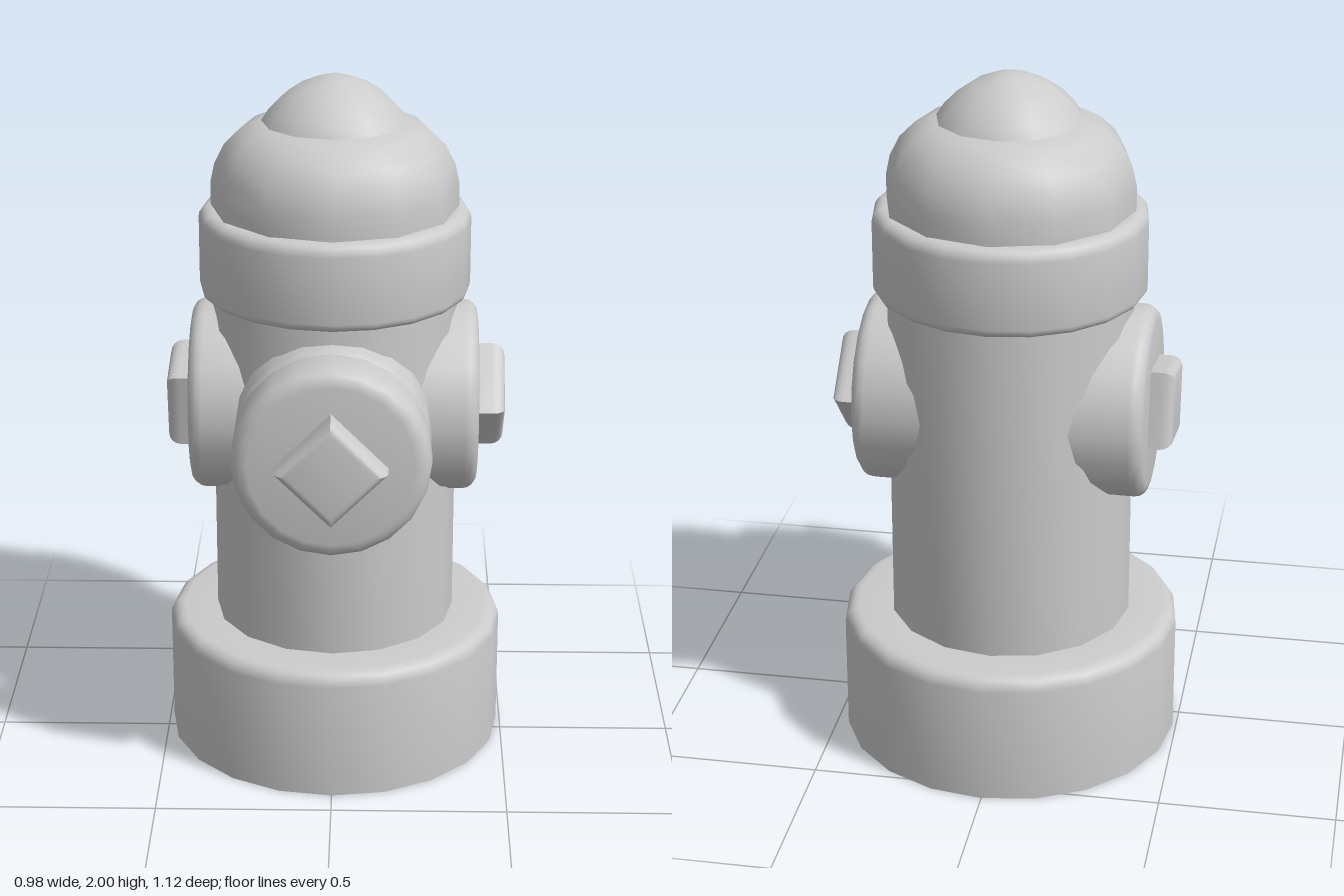
import * as THREE from 'three';
import { toCreasedNormals } from 'three/addons/utils/BufferGeometryUtils.js';

const AXIS_Z = -0.072;
const material = new THREE.MeshStandardMaterial({ color: 0xcccccc, side: THREE.DoubleSide });

// Turned part from [radius, height] points, listed bottom to top
function turned(name, points, sides) {
  const profile = points.map(([r, y]) => new THREE.Vector2(r, y));
  const mesh = new THREE.Mesh(toCreasedNormals(new THREE.LatheGeometry(profile, sides), 0.6), material);
  mesh.name = name;
  return mesh;
}

// Quarter-round profile points; bottom = true rounds the lower edge
function round(radius, y, bevel, bottom = false) {
  const points = [];
  for (let i = 0; i <= 4; i++) {
    const a = (i / 4) * Math.PI / 2;
    points.push(bottom
      ? [radius - bevel + bevel * Math.sin(a), y + bevel - bevel * Math.cos(a)]
      : [radius - bevel + bevel * Math.cos(a), y - bevel + bevel * Math.sin(a)]);
  }
  return points;
}

// Turned part laid on its side so that it points along +z
function outward(name, points, sides) {
  const mesh = turned(name, points, sides);
  mesh.geometry.rotateX(Math.PI / 2);
  return mesh;
}

// Square bolt with its corners up, down and sideways
function bolt(start, end, roll = 0) {
  const mesh = outward('bolt', [[0.156, start], ...round(0.156, end, 0.035), [0, end]], 4);
  mesh.rotation.z = roll;
  return mesh;
}

// Outlet stub from inside the barrel to its rounded end
function outlet(name, end, turn) {
  const group = new THREE.Group();
  group.name = name;
  group.add(outward('outletPipe', [[0.275, 0.2], ...round(0.275, end, 0.04), [0, end]], 20));
  group.position.set(0, 1.052, AXIS_Z);
  group.rotation.y = turn;
  return group;
}

export function createModel() {
  const model = new THREE.Group();
  model.name = 'hydrant';

  // Upright stack: hollow base, barrel, collar, dome and knob
  const stack = [
    turned('base', [[0.49, 0], ...round(0.49, 0.385, 0.04), [0.34, 0.385]], 20),
    turned('barrel', [[0.35, 0.38], [0.35, 1.45]], 16),
    turned('collar', [[0.33, 1.37], ...round(0.385, 1.37, 0.025, true),
      ...round(0.385, 1.62, 0.035), [0.3, 1.62]], 20),
    turned('dome', [[0.35, 1.6], [0.35, 1.685], [0.338, 1.74], [0.31, 1.795],
      [0.265, 1.84], [0.215, 1.863], [0.17, 1.868]], 12),
    turned('topKnob', [[0.207, 1.862], [0.185, 1.895], [0.15, 1.932], [0.105, 1.963],
      [0.055, 1.984], [0, 2]], 12),
  ];
  for (const part of stack) {
    part.position.z = AXIS_Z;
    model.add(part);
  }

  // Side outlets; the bolt on the right one is turned
  const left = outlet('leftOutlet', 0.41, Math.PI / 2);
  left.add(bolt(0.4, 0.488));
  const right = outlet('rightOutlet', 0.41, -Math.PI / 2);
  right.add(bolt(0.4, 0.478, THREE.MathUtils.degToRad(35)));

  // Front outlet with a separate thick cap
  const front = outlet('frontOutlet', 0.405, 0);
  front.add(outward('frontCap', [[0, 0.398], ...round(0.275, 0.398, 0.03, true),
    ...round(0.275, 0.562, 0.045), [0, 0.562]], 20));
  front.add(bolt(0.55, 0.634));

  model.add(left, right, front);
  return model;
}
